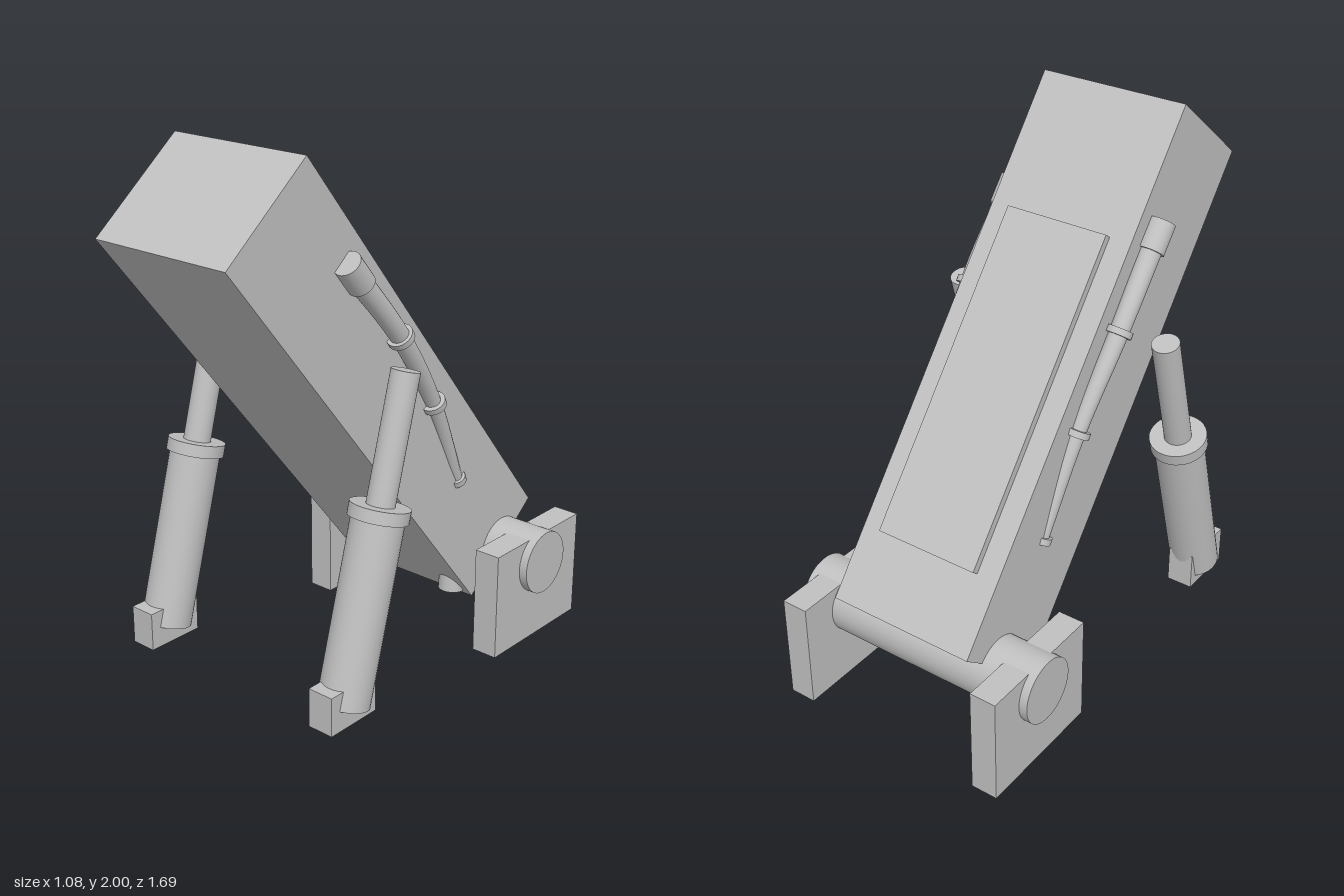
import * as THREE from 'three';

const grey = new THREE.MeshStandardMaterial({ color: 0xc0c0c0 });
grey.name = 'plain grey';

function add(parent, name, geometry, x = 0, y = 0, z = 0) {
  const mesh = new THREE.Mesh(geometry, grey);
  mesh.name = name;
  mesh.position.set(x, y, z);
  parent.add(mesh);
  return mesh;
}

// Cylinder whose axis runs from a to b
function rod(parent, name, a, b, radius, sides = 32) {
  const dir = b.clone().sub(a);
  const mid = a.clone().add(b).multiplyScalar(0.5);
  const mesh = add(parent, name, new THREE.CylinderGeometry(radius, radius, dir.length(), sides), mid.x, mid.y, mid.z);
  mesh.quaternion.setFromUnitVectors(new THREE.Vector3(0, 1, 0), dir.normalize());
  return mesh;
}

// Tube whose radius shrinks along its length
function taperedTube(curve, r0, r1, segments = 40, sides = 16) {
  const geo = new THREE.TubeGeometry(curve, segments, 1, sides);
  const pos = geo.attributes.position;
  const p = new THREE.Vector3();
  for (let i = 0; i < pos.count; i++) {
    const t = Math.floor(i / (sides + 1)) / segments;
    const c = curve.getPointAt(t);
    p.fromBufferAttribute(pos, i).sub(c).multiplyScalar(r0 + (r1 - r0) * t).add(c);
    pos.setXYZ(i, p.x, p.y, p.z);
  }
  return geo;
}

// Hydraulic prop: foot, barrel, collar and piston rod
function buildLeg(side) {
  const leg = new THREE.Group();
  leg.name = side > 0 ? 'leftLeg' : 'rightLeg';
  const x = 0.433 * side;
  const bottom = new THREE.Vector3(x, 0.172, 0.495);
  const top = new THREE.Vector3(x, 1.272, 0.188);
  const at = (t) => bottom.clone().lerp(top, t);
  add(leg, 'foot', new THREE.BoxGeometry(0.1, 0.144, 0.223), x, 0.188, 0.498);
  rod(leg, 'barrel', at(0), at(0.59), 0.092);
  rod(leg, 'collar', at(0.563), at(0.603), 0.105);
  rod(leg, 'pistonRod', at(0.5), at(1), 0.05);
  return leg;
}

// Side hose with an end cap and clamp rings
function buildHose(side) {
  const hose = new THREE.Group();
  hose.name = side > 0 ? 'leftHose' : 'rightHose';
  const points = [
    [0.31, 1.595, 0.302], [0.316, 1.33, 0.074], [0.295, 1.03, -0.138], [0.272, 0.68, -0.313],
  ].map(([x, y, z]) => new THREE.Vector3(x * side, y, z));
  const curve = new THREE.CatmullRomCurve3(points);
  add(hose, 'hoseTube', taperedTube(curve, 0.04, 0.024));

  const capDir = new THREE.Vector3(0, 0.77, 0.64).multiplyScalar(0.055);
  rod(hose, 'hoseCap', points[0].clone().sub(capDir), points[0].clone().add(capDir), 0.049);

  [0, 0.048, 0.046, 0.036].forEach((radius, i) => {
    if (!i) return;
    const half = curve.getTangent(i / 3).multiplyScalar(0.012);
    rod(hose, 'clampRing', points[i].clone().sub(half), points[i].clone().add(half), radius, 24);
  });
  return hose;
}

export function createModel() {
  const model = new THREE.Group();
  model.name = 'tiltedLauncher';

  // Leaning main body with a raised panel on its upper face
  const body = new THREE.Group();
  body.name = 'body';
  body.position.set(0, 1.085, 0.0425);
  body.rotation.x = 0.6837;
  add(body, 'mainBox', new THREE.BoxGeometry(0.576, 1.992, 0.456));
  add(body, 'backPanel', new THREE.BoxGeometry(0.406, 1.21, 0.04), 0, -0.113, -0.237);
  model.add(body);

  // Hinge shaft through the base of the body
  add(model, 'hingeShaft', new THREE.CylinderGeometry(0.122, 0.122, 0.988, 48), 0, 0.31, -0.589).rotation.z = Math.PI / 2;

  for (const side of [1, -1]) {
    add(model, 'hingePlate', new THREE.BoxGeometry(0.102, 0.414, 0.514), 0.411 * side, 0.207, -0.586);
    // Short stub below the body
    add(model, 'lowerStub', new THREE.CylinderGeometry(0.05, 0.05, 0.15, 24), 0.21 * side, 0.263, -0.389).rotation.x = -0.08;
    model.add(buildLeg(side), buildHose(side));
  }
  return model;
}
